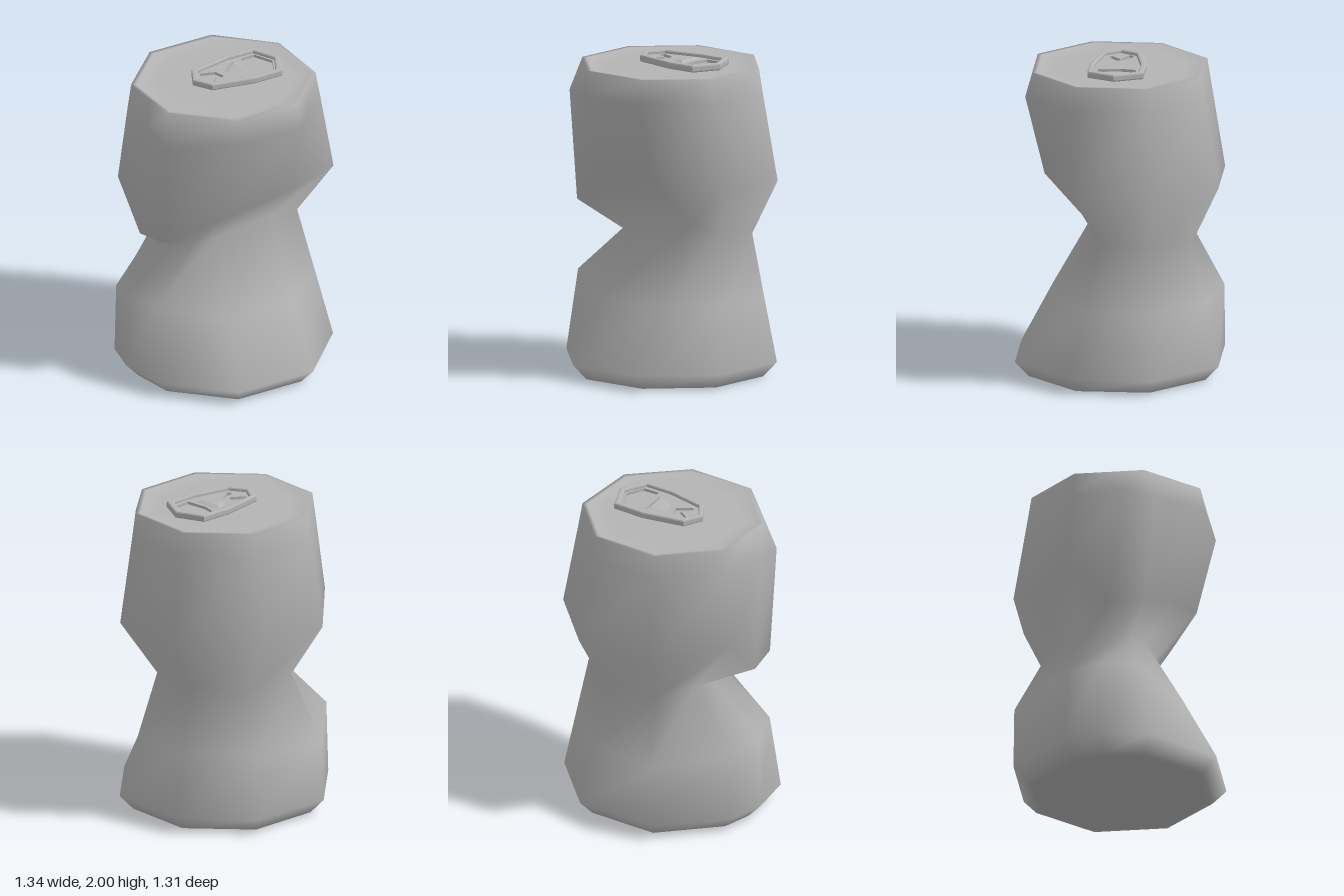
import * as THREE from 'three';
import { ConvexGeometry } from 'three/addons/geometries/ConvexGeometry.js';

const aluminium = new THREE.MeshStandardMaterial({ color: 0xb4b4b4 });
aluminium.name = 'bare aluminium';

// Wall columns: an octagon plus one extra fold line on the dented side
const angles = [73, 118, 163, 189, 208, 253, 298, 343, 28].map(a => a * Math.PI / 180);
const round = (r, y) => angles.map(a => [r * Math.cos(a), y, r * Math.sin(a)]);

// Crumpled cross-sections, one [x, y, z] per column
const lowerBulge = [
  [0.23, 0.5, 0.432], [-0.27, 0.5, 0.4], [-0.615, 0.6, 0.13],
  [-0.67, 0.58, -0.105], [-0.6, 0.55, -0.31], [-0.19, 0.49, -0.65],
  [0.28, 0.5, -0.53], [0.575, 0.5, -0.18], [0.54, 0.5, 0.23],
];
const waist = [
  [0.26, 0.98, 0.165], [-0.2, 0.95, 0.155], [-0.32, 0.88, 0.07],
  [-0.32, 0.88, -0.07], [-0.28, 0.9, -0.22], [-0.14, 0.9, -0.44],
  [0.24, 0.9, -0.455], [0.49, 0.9, -0.17], [0.47, 0.93, 0.13],
];
const upperBulge = [
  [0.18, 1.31, 0.47], [-0.32, 1.16, 0.32], [-0.595, 1.05, 0.17],
  [-0.61, 1.03, -0.05], [-0.587, 1.31, -0.31], [-0.19, 1.25, -0.655],
  [0.33, 1.25, -0.605], [0.668, 1.25, -0.19], [0.627, 1.26, 0.297],
];
const shoulder = [
  [0.167, 1.8, 0.59], [-0.285, 1.8, 0.535], [-0.61, 1.75, 0.23],
  [-0.61, 1.8, 0.03], [-0.533, 1.8, -0.28], [-0.175, 1.8, -0.567],
  [0.285, 1.8, -0.517], [0.573, 1.8, -0.165], [0.525, 1.8, 0.29],
];
const rim = [
  [0.156, 0.547], [-0.28, 0.505], [-0.56, 0.163], [-0.537, -0.05], [-0.515, -0.27],
  [-0.167, -0.544], [0.275, -0.497], [0.548, -0.16], [0.497, 0.285],
].map(([x, z]) => [x, 1.95, z]);
const lidRing = (s, y) => rim.map(([x, , z]) => [x * s, y, z * s]);

// Skin the rings from the base to the lid, closing both ends with a fan
function loft(rings) {
  const n = rings[0].length;
  const points = rings.flat();
  const index = [];
  for (let r = 0; r < rings.length - 1; r++) {
    for (let i = 0; i < n; i++) {
      const j = (i + 1) % n;
      const a = r * n + i, b = r * n + j, c = a + n, d = b + n;
      index.push(a, c, b, b, c, d);
    }
  }
  const last = (rings.length - 1) * n;
  const base = points.push([0, rings[0][0][1], 0]) - 1;
  const top = points.push([0, rings.at(-1)[0][1], 0]) - 1;
  for (let i = 0; i < n; i++) {
    const j = (i + 1) % n;
    index.push(base, i, j, top, last + j, last + i);
  }
  const g = new THREE.BufferGeometry();
  g.setAttribute('position', new THREE.Float32BufferAttribute(points.flat(), 3));
  g.setIndex(index);
  g.computeVertexNormals();
  return g;
}

const tabOutline = [
  [-0.225, -0.02], [-0.15, -0.135], [0.13, -0.163], [0.335, -0.14],
  [0.397, 0.045], [0.3, 0.207], [0.105, 0.19], [-0.165, 0.105],
];
const tabInner = tabOutline.map(([x, z]) => [0.085 + (x - 0.085) * 0.88, 0.02 + (z - 0.02) * 0.8]);
const fingerHole = [[0.2, -0.095], [0.3, -0.09], [0.345, 0.04], [0.28, 0.145], [0.175, 0.14], [0.17, 0]];
const rivetSlot = [
  [-0.12, -0.09], [-0.03, -0.05], [-0.015, 0.02], [-0.1, 0.07],
  [-0.125, 0.05], [-0.055, 0], [-0.135, -0.06],
];

// Flat plate from an outline in x and z, with holes; yTop is its upper face
function plate(name, outline, holes, yTop, depth, bevel) {
  const toVectors = pts => pts.map(p => new THREE.Vector2(...p));
  const shape = new THREE.Shape(toVectors(outline));
  holes.forEach(h => shape.holes.push(new THREE.Path(toVectors(h))));
  const g = new THREE.ExtrudeGeometry(shape, {
    depth: depth - 2 * bevel, bevelEnabled: bevel > 0, bevelSegments: 2,
    bevelSize: bevel, bevelThickness: bevel, bevelOffset: -bevel,
  });
  g.rotateX(Math.PI / 2);
  g.translate(0, yTop - bevel, 0);
  const mesh = new THREE.Mesh(g, aluminium);
  mesh.name = name;
  return mesh;
}

export function createModel() {
  const can = new THREE.Group();
  can.name = 'crushedCan';

  // Body, base and slightly sunken lid in one smooth skin
  const body = new THREE.Mesh(loft([
    round(0.56, 0), round(0.595, 0.004), round(0.685, 0.1),
    lowerBulge, waist, upperBulge, shoulder, rim,
    lidRing(0.95, 1.948), lidRing(0.88, 1.935), lidRing(0.75, 1.935),
  ]), aluminium);
  body.name = 'canBody';
  can.add(body);

  // Pull tab: rolled edge, recessed web and folded bridge
  const tab = new THREE.Group();
  tab.name = 'pullTab';
  tab.add(plate('tabEdge', tabOutline, [tabInner], 2, 0.045, 0.01));
  tab.add(plate('tabWeb', tabInner, [fingerHole, rivetSlot], 1.978, 0.018, 0));
  const bridge = new THREE.Mesh(new ConvexGeometry([
    [-0.01, 1.97, -0.04], [-0.005, 1.97, 0.03], [0.165, 1.97, 0.13], [0.17, 1.97, -0.12],
    [0.12, 1.99, 0.06], [0.12, 1.99, -0.06], [0.05, 1.985, 0],
  ].map(p => new THREE.Vector3(...p))), aluminium);
  bridge.name = 'tabBridge';
  tab.add(bridge);
  can.add(tab);
  return can;
}
